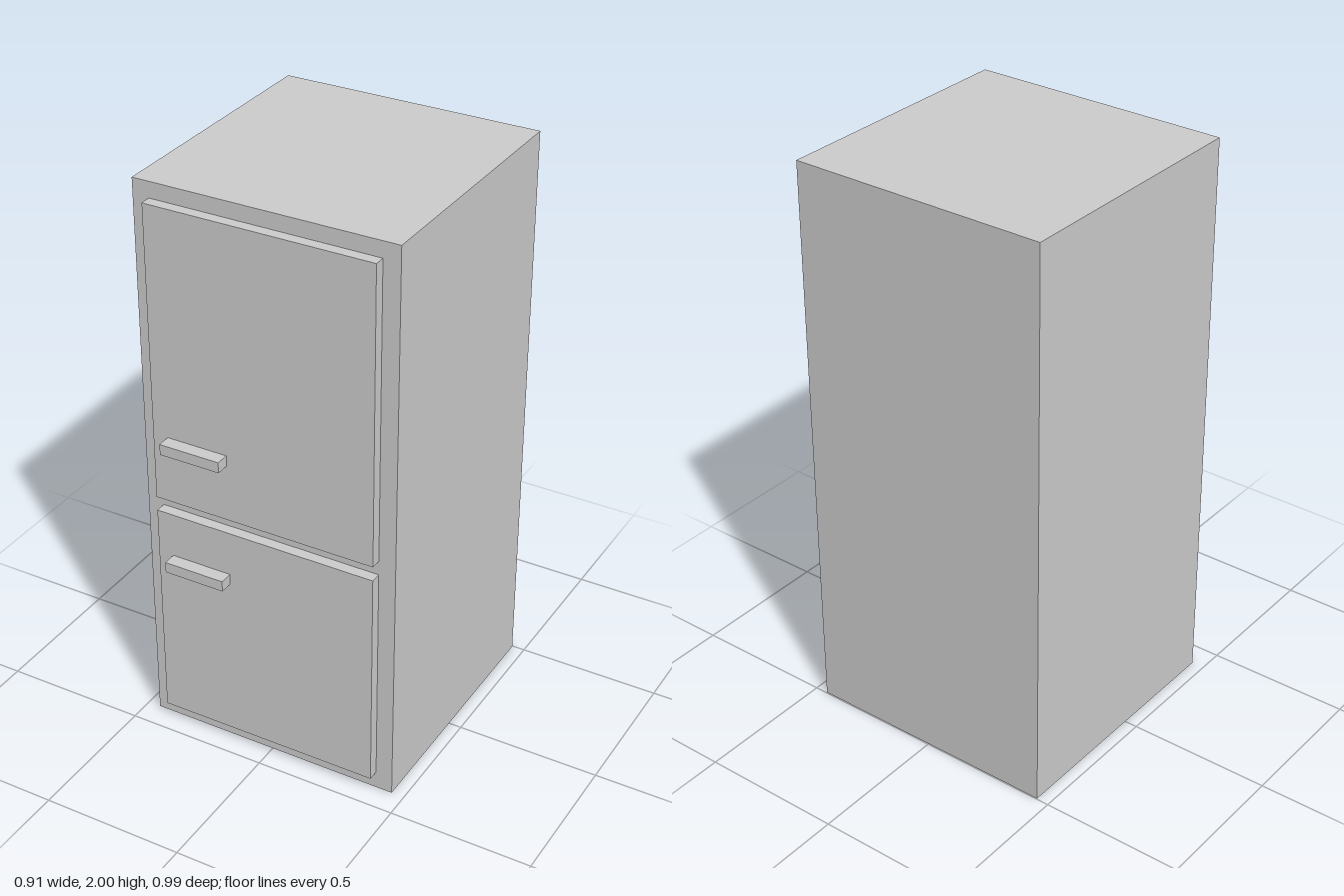
import * as THREE from 'three';

const material = new THREE.MeshStandardMaterial({ color: 0xcccccc, flatShading: true });

// Box given by its min and max limits on each axis
function block(name, [x0, x1], [y0, y1], [z0, z1]) {
  const mesh = new THREE.Mesh(new THREE.BoxGeometry(x1 - x0, y1 - y0, z1 - z0), material);
  mesh.position.set((x0 + x1) / 2, (y0 + y1) / 2, (z0 + z1) / 2);
  mesh.name = name;
  return mesh;
}

export function createModel() {
  const group = new THREE.Group();
  group.name = 'refrigerator';

  // Cabinet
  const front = 0.412, doorFront = 0.45;
  group.add(block('cabinet', [-0.455, 0.455], [0, 2], [-0.497, front]));

  // Upper and lower doors, each with a bar handle near the free edge
  const doors = [
    { name: 'upper', y: [0.905, 1.945], handleY: [1.107, 1.145] },
    { name: 'lower', y: [0.063, 0.854], handleY: [0.657, 0.695] },
  ];
  for (const { name, y, handleY } of doors) {
    group.add(block(`${name}Door`, [-0.397, 0.396], y, [front, doorFront]));
    group.add(block(`${name}Handle`, [-0.343, -0.126], handleY, [doorFront, 0.497]));
  }
  return group;
}
